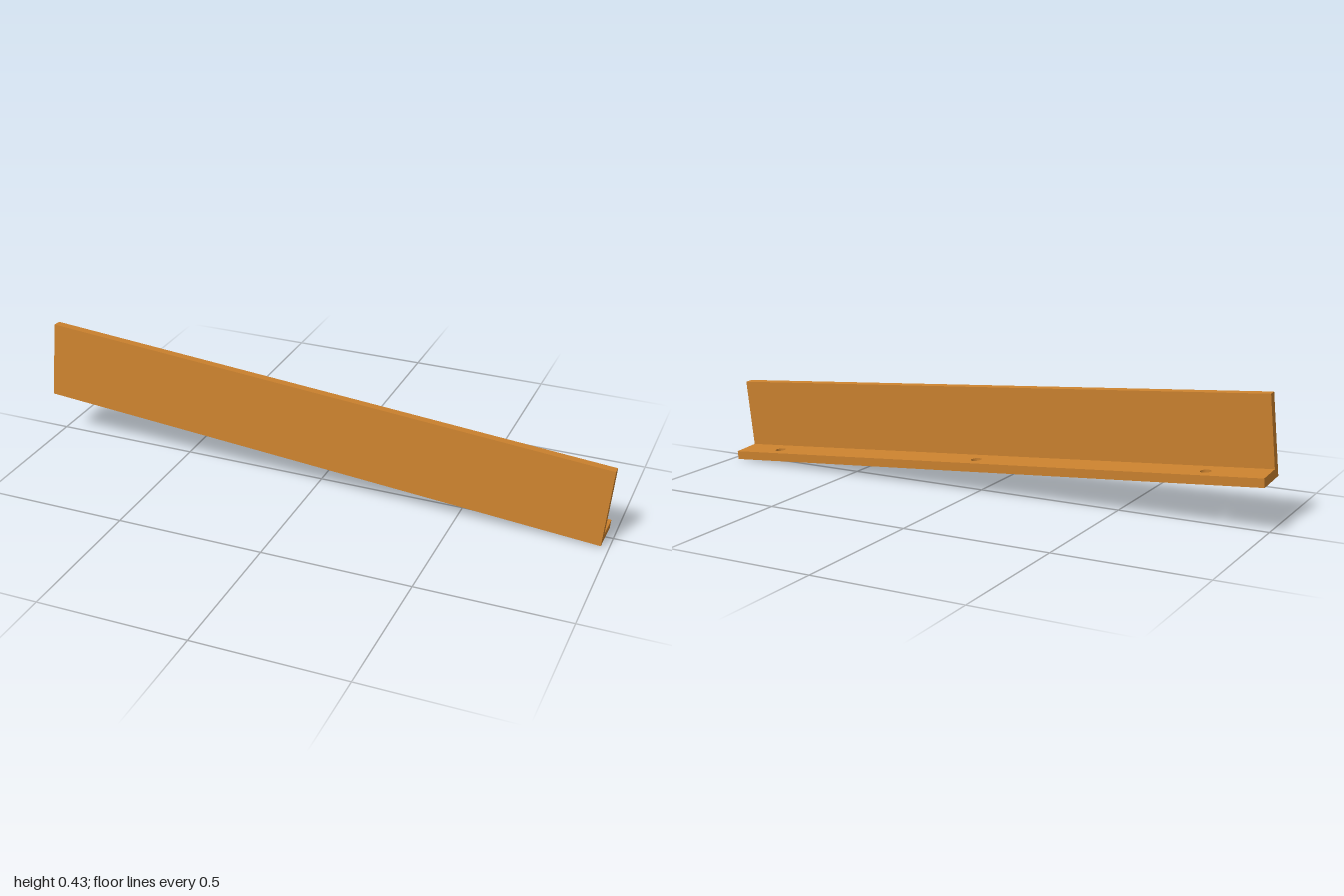
import * as THREE from 'three';

// Angle bracket: upright plate plus a drilled shelf behind it, slightly tilted
const LENGTH = 1.981, HEIGHT = 0.265, DEPTH = 0.131, THICK = 0.0295;
const HOLE_RADIUS = 0.0178, HOLE_DEPTH = 0.085, HOLE_SPACING = 0.81, HOLE_SHIFT = 0.0205;

export function createModel() {
  const bronze = new THREE.MeshStandardMaterial({ color: 0xcc822e });
  bronze.name = 'bronze';

  // Local frame: origin at the middle of the front bottom edge
  const bracket = new THREE.Group();
  bracket.name = 'angleBracket';

  // Upright plate
  const plateGeometry = new THREE.BoxGeometry(LENGTH, HEIGHT, THICK);
  plateGeometry.translate(0, HEIGHT / 2, -THICK / 2);
  const plate = new THREE.Mesh(plateGeometry, bronze);
  plate.name = 'uprightPlate';

  // Shelf with three through holes, drawn as length by depth
  const outline = new THREE.Shape([
    new THREE.Vector2(-LENGTH / 2, THICK),
    new THREE.Vector2(LENGTH / 2, THICK),
    new THREE.Vector2(LENGTH / 2, DEPTH),
    new THREE.Vector2(-LENGTH / 2, DEPTH),
  ]);
  for (const i of [-1, 0, 1]) {
    const hole = new THREE.Path();
    hole.absarc(HOLE_SHIFT + i * HOLE_SPACING, HOLE_DEPTH, HOLE_RADIUS, 0, Math.PI * 2, true);
    outline.holes.push(hole);
  }
  const shelfGeometry = new THREE.ExtrudeGeometry(outline, {
    depth: THICK, bevelEnabled: false, curveSegments: 32,
  });
  shelfGeometry.rotateX(-Math.PI / 2);
  const shelf = new THREE.Mesh(shelfGeometry, bronze);
  shelf.name = 'drilledShelf';
  bracket.add(plate, shelf);

  // Tilt: along the length, up the plate, and out of its front
  const along = new THREE.Vector3(1.975, -0.157, 0.0078).normalize();
  const front = new THREE.Vector3(0, 0.051, 1);
  const up = front.clone().cross(along).normalize();
  front.crossVectors(along, up);
  bracket.quaternion.setFromRotationMatrix(new THREE.Matrix4().makeBasis(along, up, front));
  bracket.position.set(-0.0125, 0.0855, 0.067);

  const model = new THREE.Group();
  model.name = 'model';
  model.add(bracket);
  return model;
}
